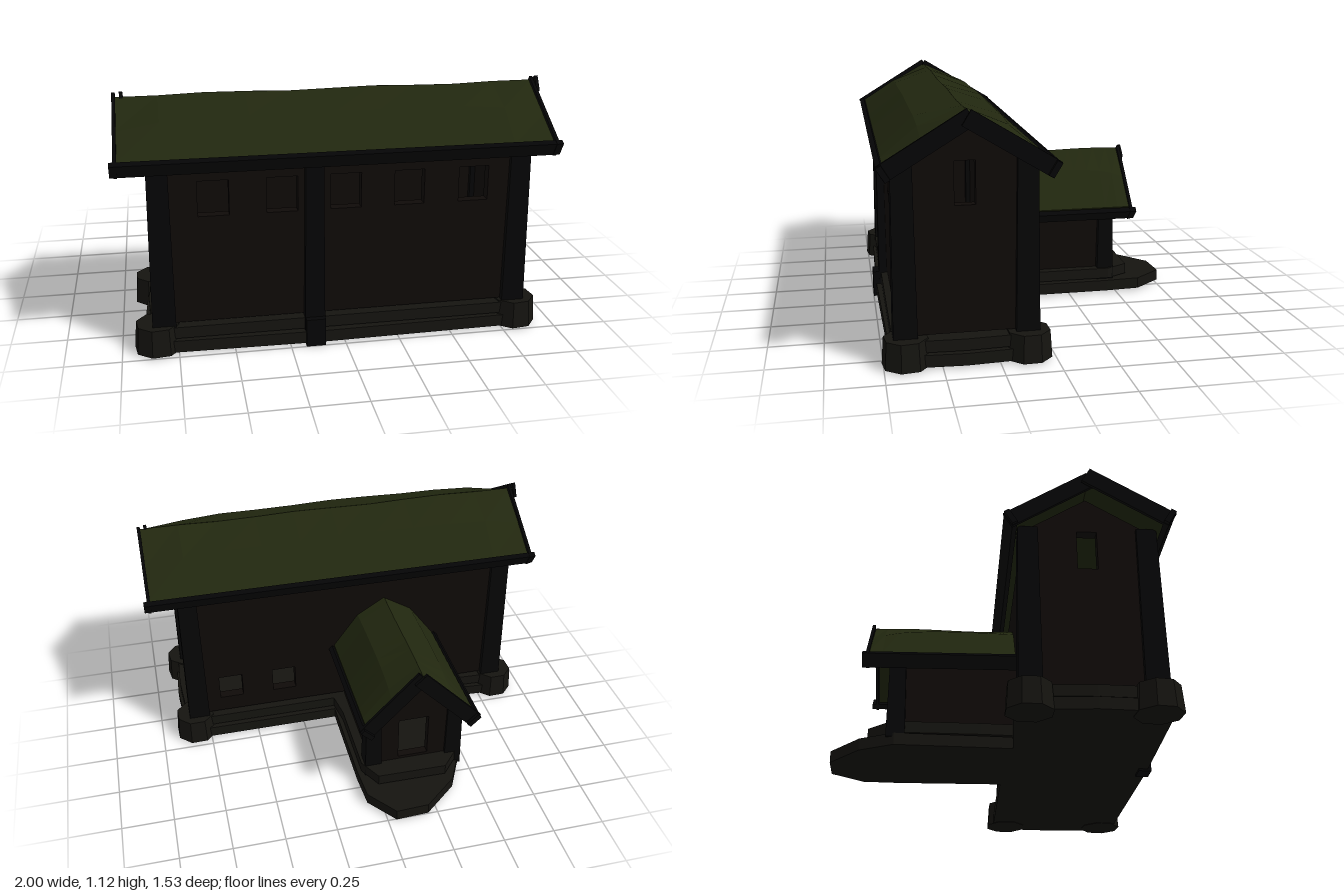
import * as THREE from 'three';

const mat = (color) => new THREE.MeshStandardMaterial({ color, flatShading: true, roughness: 1, side: THREE.DoubleSide });
const WALL = mat(0x0f0a08), WOOD = mat(0x050506), STONE = mat(0x151410), TURF = mat(0x21270f);

function add(parent, name, geo, material, x = 0, y = 0, z = 0) {
  const m = new THREE.Mesh(geo, material);
  m.name = name;
  m.position.set(x, y, z);
  parent.add(m);
  return m;
}

// Upright wall panel with rectangular openings [u0, y0, u1, y1]
function wallGeometry(outline, openings, depth = 0.05) {
  const shape = new THREE.Shape(outline.map(([u, y]) => new THREE.Vector2(u, y)));
  for (const [a, b, c, d] of openings) {
    shape.holes.push(new THREE.Path([[a, b], [a, d], [c, d], [c, b]].map(([u, y]) => new THREE.Vector2(u, y))));
  }
  const g = new THREE.ExtrudeGeometry(shape, { depth, bevelEnabled: false });
  return g.translate(0, 0, -depth / 2);
}

// Square post, slightly wider at its foot
function post(parent, x, z, y0, y1, width) {
  const r = width / Math.SQRT2;
  const g = new THREE.CylinderGeometry(r * 0.86, r, y1 - y0, 4).rotateY(Math.PI / 4);
  return add(parent, 'post', g, WOOD, x, (y0 + y1) / 2, z);
}

// Flat foundation layer from an outline in x and z
function slab(parent, name, pts, y0, y1) {
  const shape = new THREE.Shape(pts.map(([x, z]) => new THREE.Vector2(x, -z)));
  const g = new THREE.ExtrudeGeometry(shape, { depth: y1 - y0, bevelEnabled: false }).rotateX(-Math.PI / 2);
  add(parent, name, g, STONE, 0, y0, 0);
}

// Gabled roof, ridge along local x: two turf slopes, each with eave board and gable boards.
// top: turf profile [offset, y] from ridge to eave; bulge: extra height of its middle, fading to the open ends;
// beam: centre line of the gable boards; ends: which ends (-1, 1) of a slope are open.
function roof({ name, length, shift, top, bulge, beam, ends }) {
  const group = new THREE.Group();
  group.name = name;
  const [[, ridgeY], [eaveZ, eaveY]] = beam;
  const angle = Math.atan2(ridgeY - eaveY, eaveZ);
  const run = Math.hypot(ridgeY - eaveY, eaveZ);
  for (const side of [0, 1]) {
    const half = new THREE.Group();
    half.name = 'roofSide';
    half.rotation.y = side * Math.PI;
    group.add(half);

    const g = new THREE.BoxGeometry(length, 1, 1, 10, 1, 2);
    const p = g.attributes.position;
    for (let i = 0; i < p.count; i++) {
      const x = p.getX(i), row = Math.round(p.getZ(i) * 2 + 1);
      if (p.getY(i) > 0) {
        const [z, y] = top[row];
        const inner = 1 - Math.max(0, ...ends(side).map((e) => 2 * e * x / length)) ** 4;
        const wave = row < 2 ? 0.004 * Math.sin(x * 9 * (side ? -1 : 1) + row * 2) : 0;
        p.setXYZ(i, x, y + wave + (row === 1 ? bulge * inner : 0), z);
      } else {
        p.setXYZ(i, x, ridgeY + (eaveY - ridgeY) * row / 2 - 0.005, eaveZ * row / 2);
      }
    }
    add(half, 'turf', g, TURF, shift);

    const eave = add(half, 'eaveBoard', new THREE.BoxGeometry(length + 0.045, 0.07, 0.025), WOOD, shift, eaveY, eaveZ);
    eave.rotation.x = angle;
    for (const e of ends(side)) {
      const board = add(half, 'gableBoard', new THREE.BoxGeometry(0.015, 0.075, run + 0.03), WOOD,
        shift + e * (length / 2 - 0.002), (ridgeY + eaveY) / 2, eaveZ / 2);
      board.rotation.x = angle;
    }
  }
  return group;
}

export function createModel() {
  const model = new THREE.Group();
  model.name = 'house';

  // Foundation: two stone layers with a step at the porch
  slab(model, 'lowerFoundation', [[-0.87, 0.72], [-0.12, 0.735], [0.87, 0.72], [0.89, 0.4], [0.87, 0.05], [0.08, 0.05],
    [0.08, -0.1], [0.08, -0.45], [0.07, -0.62], [-0.04, -0.762], [-0.2, -0.755], [-0.37, -0.61], [-0.45, -0.45],
    [-0.43, -0.08], [-0.42, 0.08], [-0.87, 0.05], [-0.89, 0.4]], 0.01, 0.065);
  slab(model, 'upperFoundation', [[-0.86, 0.71], [0.86, 0.71], [0.875, 0.4], [0.86, 0.07], [0.08, 0.07], [0.06, -0.06],
    [0.06, -0.46], [0, -0.57], [-0.34, -0.575], [-0.44, -0.46], [-0.43, -0.06], [-0.42, 0.09], [-0.86, 0.07],
    [-0.875, 0.4]], 0.072, 0.125);

  // Corner stones and posts of the main hall
  for (const sx of [-1, 1]) {
    for (const z of [0.653, 0.12]) {
      const stone = new THREE.CylinderGeometry(0.098, 0.107, 0.125, 8).rotateY(Math.PI / 8 + z * 0.2);
      add(model, 'cornerStone', stone, STONE, sx * 0.83 - 0.01, 0.07, z);
      post(model, sx * 0.805 - 0.005, z === 0.12 ? 0.125 : 0.655, 0.1, 0.9, 0.105);
    }
  }
  post(model, -0.137, 0.675, 0.01, 0.88, 0.092).name = 'middlePost';
  add(model, 'middlePostFoot', new THREE.BoxGeometry(0.088, 0.13, 0.06), WOOD, -0.137, 0.065, 0.72);

  // Long walls of the main hall
  const long = [[-0.81, 0.136], [0.8, 0.136], [0.8, 0.88], [-0.81, 0.88]];
  const frontWindows = [-0.575, -0.275, 0.008, 0.295, 0.59].map((x) => [x - 0.068, 0.63, x + 0.068, 0.79]);
  const backWindows = [0.34, 0.62].map((x) => [x - 0.06, 0.22, x + 0.06, 0.35]);
  add(model, 'frontWall', wallGeometry(long, frontWindows), WALL, 0, 0, 0.655);
  add(model, 'backWall', wallGeometry(long, backWindows), WALL, 0, 0, 0.125);

  // Gable walls with a tall window each
  const gable = [[-0.28, 0.136], [0.28, 0.136], [0.28, 0.89], [0, 1.06], [-0.28, 0.89]];
  for (const x of [-0.81, 0.8]) {
    const wall = add(model, 'gableWall', wallGeometry(gable, [[-0.045, 0.7, 0.045, 0.89]]), WALL, x, 0, 0.39);
    wall.rotation.y = -Math.PI / 2;
  }

  // Main roof
  const mainRoof = roof({
    name: 'mainRoof', length: 1.925, shift: -0.016,
    top: [[0, 1.105], [0.19, 0.998], [0.345, 0.9]], bulge: 0.047,
    beam: [[0, 1.085], [0.345, 0.875]], ends: () => [-1, 1],
  });
  mainRoof.position.z = 0.388;
  model.add(mainRoof);

  // Porch: gable wall with doorway, side walls and posts
  const porch = new THREE.Group();
  porch.name = 'porch';
  porch.position.x = -0.2;
  model.add(porch);
  add(porch, 'doorWall', wallGeometry([[-0.2, 0.12], [0.2, 0.12], [0.2, 0.47], [0, 0.66], [-0.2, 0.47]],
    [[-0.075, 0.14, 0.075, 0.37]], 0.04), WALL, 0, 0, -0.45);
  for (const sx of [-1, 1]) {
    add(porch, 'sideWall', new THREE.BoxGeometry(0.04, 0.35, 0.55), WALL, sx * 0.195, 0.295, -0.175);
    post(porch, sx * 0.205, -0.445, 0.05, 0.47, 0.085);
  }
  const porchRoof = roof({
    name: 'porchRoof', length: 0.68, shift: -0.008,
    top: [[0, 0.714], [0.14, 0.585], [0.265, 0.455]], bulge: 0.045,
    beam: [[0, 0.69], [0.26, 0.42]], ends: (side) => [side ? -1 : 1],
  });
  porchRoof.rotation.y = Math.PI / 2;
  porchRoof.position.set(0.003, 0, -0.238);
  porch.add(porchRoof);

  return model;
}
